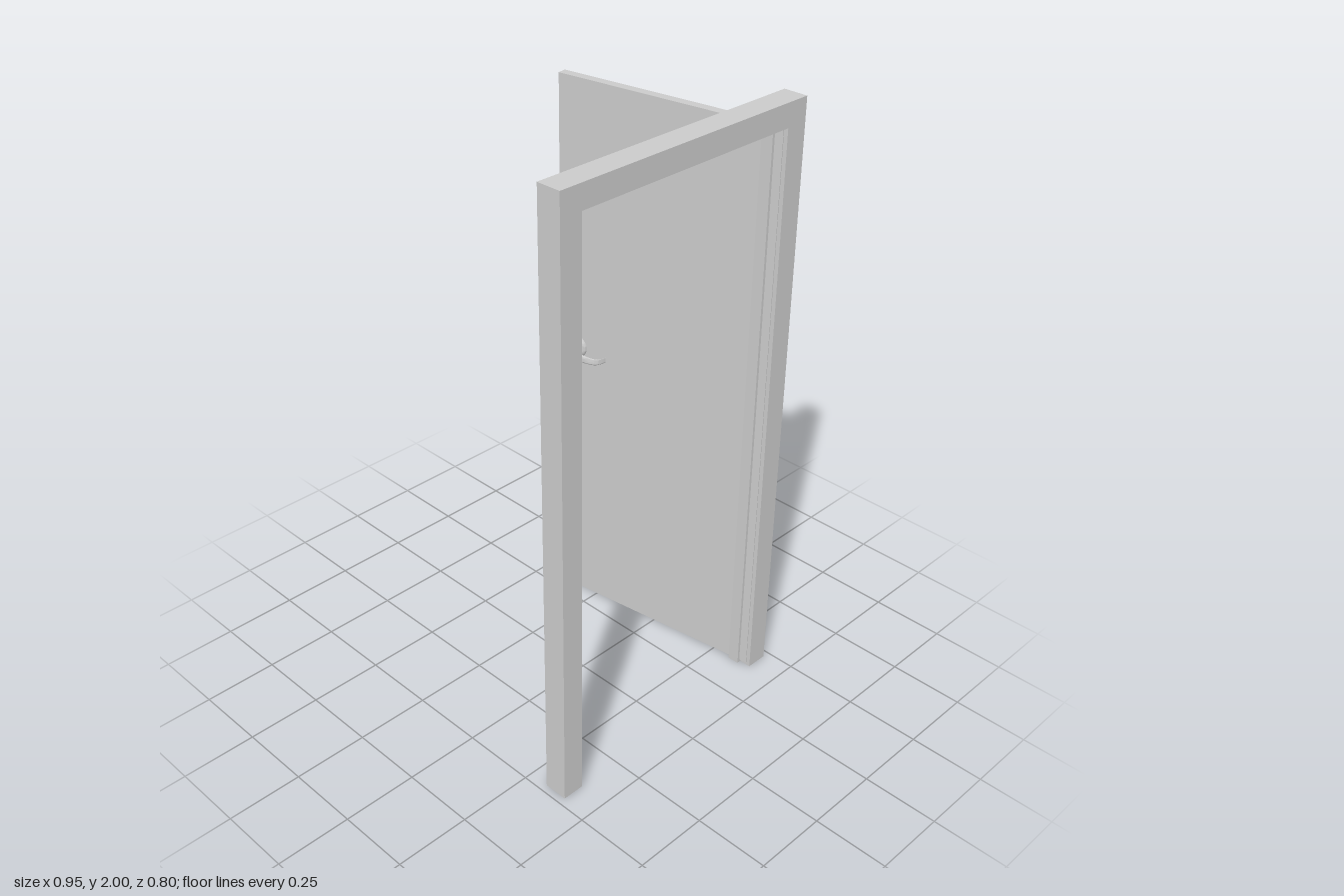
import * as THREE from 'three';
import { toCreasedNormals } from 'three/addons/utils/BufferGeometryUtils.js';

const material = new THREE.MeshStandardMaterial({ color: 0xcccccc });

function addMesh(parent, name, geometry) {
  const mesh = new THREE.Mesh(geometry, material);
  mesh.name = name;
  parent.add(mesh);
  return mesh;
}

// Skin a series of closed rings (arrays of Vector3, counterclockwise around the path)
function loft(rings, crease) {
  const n = rings[0].length;
  const index = [];
  for (let i = 0; i < rings.length - 1; i++) {
    for (let j = 0; j < n; j++) {
      const k = (j + 1) % n;
      const a = i * n + j, b = i * n + k, c = a + n, d = b + n;
      index.push(a, b, d, a, d, c);
    }
  }
  const geometry = new THREE.BufferGeometry().setFromPoints(rings.flat());
  geometry.setIndex(index);
  return toCreasedNormals(geometry, crease);
}

// Rebated jamb section, swept up, across and down with mitred corners
function frameGeometry() {
  const halfOpening = 0.4, openingTop = 1.925;
  const section = [ // [outward from opening, z]
    [-0.015, 0.32], [0.075, 0.32], [0.075, 0.4], [0, 0.4], [0, 0.36], [-0.015, 0.36],
  ];
  const corners = [[-1, 0], [-1, 1], [1, 1], [1, 0]];
  const rings = corners.map(([side, top]) => section.map(([d, z]) =>
    new THREE.Vector3(side * (halfOpening + d), top * (openingTop + d), z)));
  return loft(rings, 0.3);
}

// Curved lever, thick at the hub and flattening toward the returned tip
function leverGeometry() {
  const stations = [ // x, z, half thickness, half height, y
    [0.065, 0.052, 0.012, 0.017, 0],
    [0.066, 0.078, 0.013, 0.019, 0],
    [0.072, 0.105, 0.010, 0.016, 0],
    [0.075, 0.130, 0.0075, 0.014, -0.001],
    [0.073, 0.160, 0.0055, 0.012, -0.002],
    [0.067, 0.180, 0.004, 0.011, -0.003],
    [0.052, 0.191, 0.0025, 0.010, -0.004],
    [0.032, 0.197, 0.0015, 0.009, -0.004],
  ];
  const path = new THREE.CatmullRomCurve3(stations.map(([x, z, , , y]) => new THREE.Vector3(x, y, z)));
  const size = new THREE.CatmullRomCurve3(stations.map(([, , t, h]) => new THREE.Vector3(t, h, 0)));
  const steps = 32, sides = 20;
  const ringAt = (u, scale) => {
    const p = path.getPoint(u), t = path.getTangent(u);
    const s = size.getPoint(u).multiplyScalar(scale);
    return Array.from({ length: sides }, (_, j) => {
      const a = (j / sides) * Math.PI * 2;
      const c = Math.cos(a) * s.x;
      return new THREE.Vector3(p.x + t.z * c, p.y + Math.sin(a) * s.y, p.z - t.x * c);
    });
  };
  const rings = [ringAt(0, 0.001)];
  for (let i = 0; i <= steps; i++) rings.push(ringAt(i / steps, 1));
  rings.push(ringAt(1, 0.001));
  return loft(rings, 0.7);
}

// Turned rosette and neck, with its axis along +x
function rosetteGeometry() {
  const profile = [
    [0.038, 0], [0.038, 0.017], [0.036, 0.022], [0.031, 0.025], [0.027, 0.027],
    [0.022, 0.028], [0.021, 0.036], [0.018, 0.038], [0.016, 0.046],
    [0.017, 0.054], [0.017, 0.062], [0.012, 0.07], [0, 0.072],
  ].map(([r, y]) => new THREE.Vector2(r, y));
  const geometry = new THREE.LatheGeometry(profile, 40);
  geometry.rotateZ(-Math.PI / 2);
  return toCreasedNormals(geometry, 0.7);
}

export function createModel() {
  const model = new THREE.Group();
  model.name = 'openDoor';
  addMesh(model, 'doorFrame', frameGeometry());

  // Open door: origin at the middle of the free edge, +z running to the hinge
  const door = new THREE.Group();
  door.name = 'door';
  door.position.set(0.303, 0, -0.398);
  door.rotation.y = THREE.MathUtils.degToRad(8);
  model.add(door);

  const thickness = 0.031, width = 0.79, height = 1.91;
  addMesh(door, 'doorPanel', new THREE.BoxGeometry(thickness, height, width))
    .position.set(0, 0.01 + height / 2, width / 2);

  // Matching handles on both faces
  const lever = leverGeometry(), rosette = rosetteGeometry();
  for (const side of [1, -1]) {
    const handle = new THREE.Group();
    handle.name = side > 0 ? 'leftHandle' : 'rightHandle';
    handle.position.y = 1;
    handle.scale.x = side;
    addMesh(handle, 'rosette', rosette).position.z = 0.07;
    addMesh(handle, 'lever', lever);
    door.add(handle);
  }
  return model;
}
